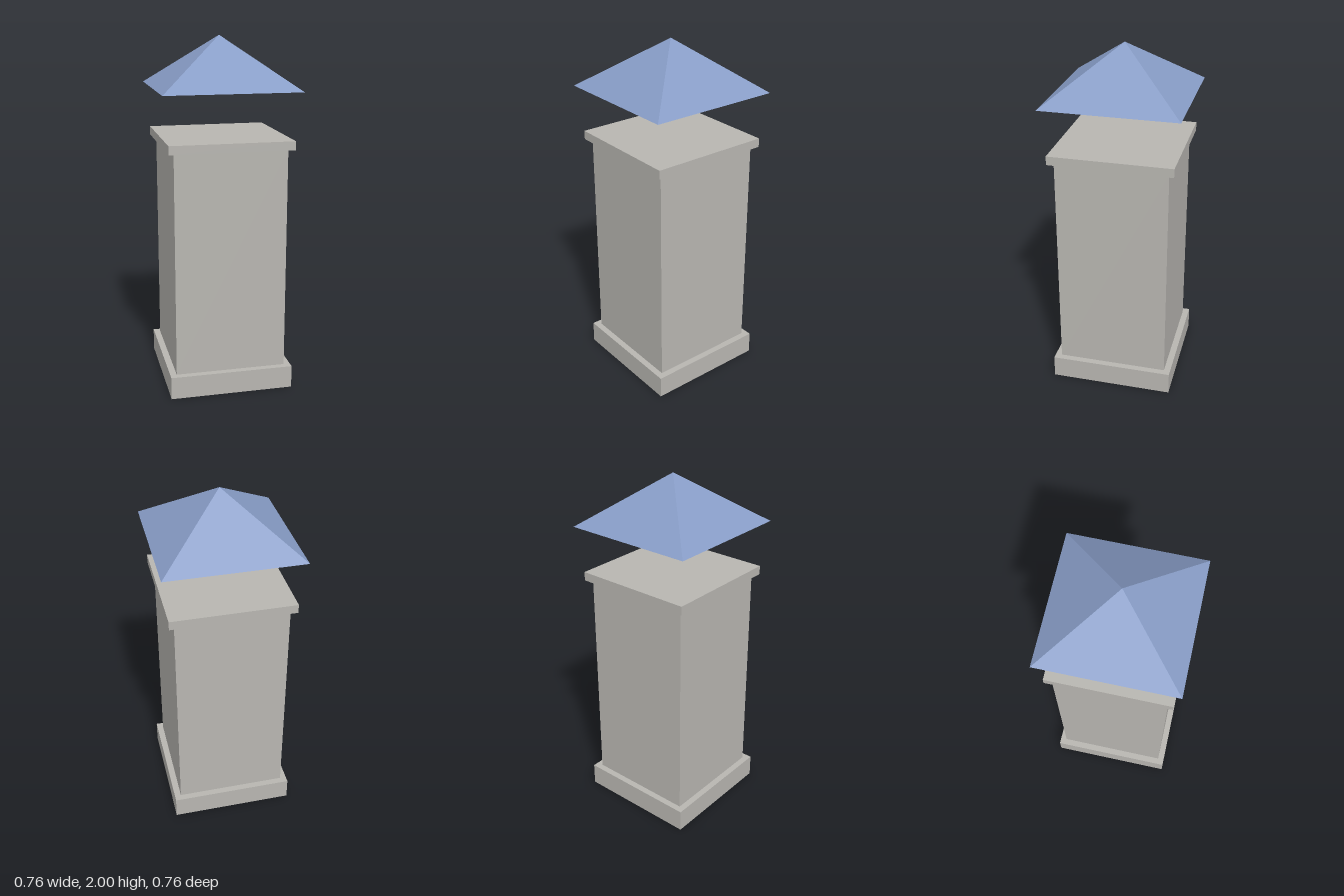
import * as THREE from 'three';

const stone = new THREE.MeshStandardMaterial({ name: 'warm grey stone', color: 0xb8b6b1 });
const slate = new THREE.MeshStandardMaterial({ name: 'slate blue', color: 0x879cc6 });

// Square block from bottom to top height
function block(name, width, bottom, top) {
  const mesh = new THREE.Mesh(new THREE.BoxGeometry(width, top - bottom, width), stone);
  mesh.name = name;
  mesh.position.y = (bottom + top) / 2;
  return mesh;
}

export function createModel() {
  const group = new THREE.Group();
  group.name = 'pillar';

  // Stone pillar: plinth, shaft and overhanging cap slab
  group.add(
    block('plinth', 0.706, 0, 0.13),
    block('shaft', 0.632, 0.13, 1.4),
    block('capSlab', 0.696, 1.4, 1.45)
  );

  // Floating four-sided pyramid roof with a closed underside
  const half = 0.38, eaves = 1.715, apex = 2;
  const pyramid = new THREE.ConeGeometry(half * Math.SQRT2, apex - eaves, 4)
    .rotateY(Math.PI / 4)
    .toNonIndexed();
  pyramid.computeVertexNormals();
  const roof = new THREE.Mesh(pyramid, slate);
  roof.name = 'roof';
  roof.position.y = (eaves + apex) / 2;
  group.add(roof);

  return group;
}
